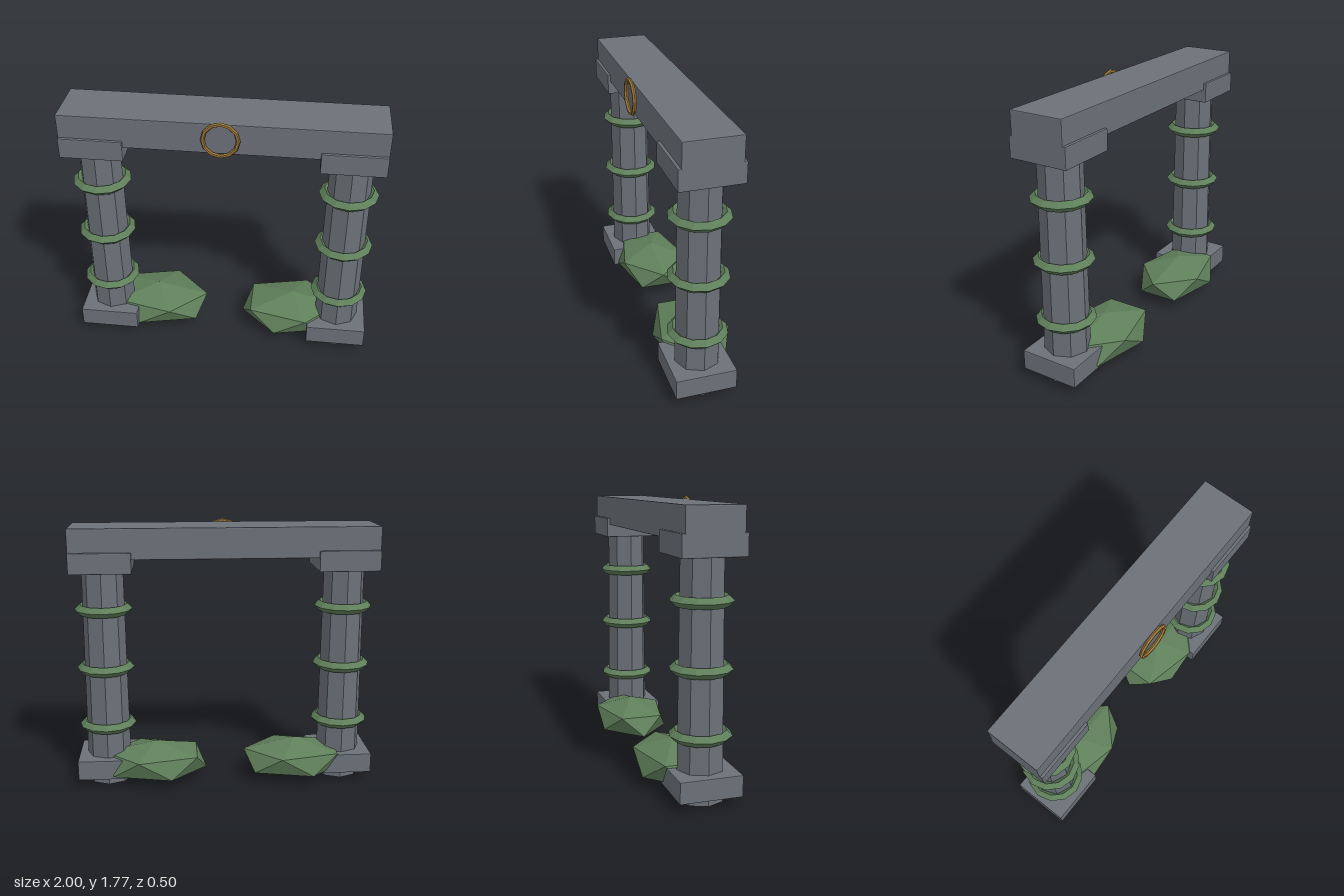
import * as THREE from 'three';
import { RoundedBoxGeometry } from 'three/addons/geometries/RoundedBoxGeometry.js';
import { ConvexGeometry } from 'three/addons/geometries/ConvexGeometry.js';

const DEPTH_CENTRE = 0.043;

function flatMaterial(color) {
  return new THREE.MeshStandardMaterial({ color, flatShading: true });
}

// Low-poly boulder: a stretched icosahedron standing on one of its points
function boulderGeometry(rx, ry, rz) {
  const points = [new THREE.Vector3(0, ry, 0), new THREE.Vector3(0, -ry, 0)];
  for (let i = 0; i < 5; i++) {
    const a = (i / 5) * Math.PI * 2;
    const x = rx * Math.cos(a), y = ry / Math.sqrt(5), z = rz * Math.sin(a);
    points.push(new THREE.Vector3(x, y, z), new THREE.Vector3(-x, -y, z));
  }
  return new ConvexGeometry(points);
}

export function createModel() {
  const gate = new THREE.Group();
  gate.name = 'stoneGate';
  const stone = flatMaterial(0x6b7178);
  const moss = flatMaterial(0x5f7f5a);
  const bronze = flatMaterial(0x9c7638);

  function add(parent, name, geometry, material, x, y, z) {
    const mesh = new THREE.Mesh(geometry, material);
    mesh.name = name;
    mesh.position.set(x, y, z);
    parent.add(mesh);
    return mesh;
  }

  // Lintel across the top
  add(gate, 'lintel', new RoundedBoxGeometry(2, 0.2, 0.355, 1, 0.006), stone, 0, 1.645, DEPTH_CENTRE);

  // Ring emblem on the front of the lintel
  add(gate, 'lintelRing', new THREE.TorusGeometry(0.108, 0.013, 6, 12), bronze, 0, 1.645, 0.234);

  // Shared shapes for the two pillars
  const shaft = new THREE.CylinderGeometry(0.135, 0.148, 1.55, 8);
  const block = new RoundedBoxGeometry(0.4, 0.135, 0.392, 1, 0.006);
  const band = new THREE.TorusGeometry(0.157, 0.034, 4, 12).rotateX(Math.PI / 2);
  const boulder = boulderGeometry(0.35, 0.14, 0.242);

  for (const [side, label] of [[1, 'left'], [-1, 'right']]) {
    const pillar = new THREE.Group();
    pillar.name = label + 'Pillar';
    pillar.position.set(side * 0.8, 0, DEPTH_CENTRE);
    gate.add(pillar);

    add(pillar, 'shaft', shaft, stone, 0, 0.775, 0);
    add(pillar, 'baseBlock', block, stone, 0, 0.123, 0);
    add(pillar, 'capitalBlock', block, stone, 0, 1.525, 0);

    // Vine bands around the shaft
    for (const y of [0.4, 0.8, 1.2]) add(pillar, 'vineBand', band, moss, 0, y, 0);

    // Mossy boulder at the inner foot
    add(gate, label + 'Boulder', boulder, moss, side * 0.48, 0.14, -0.02);
  }
  return gate;
}
